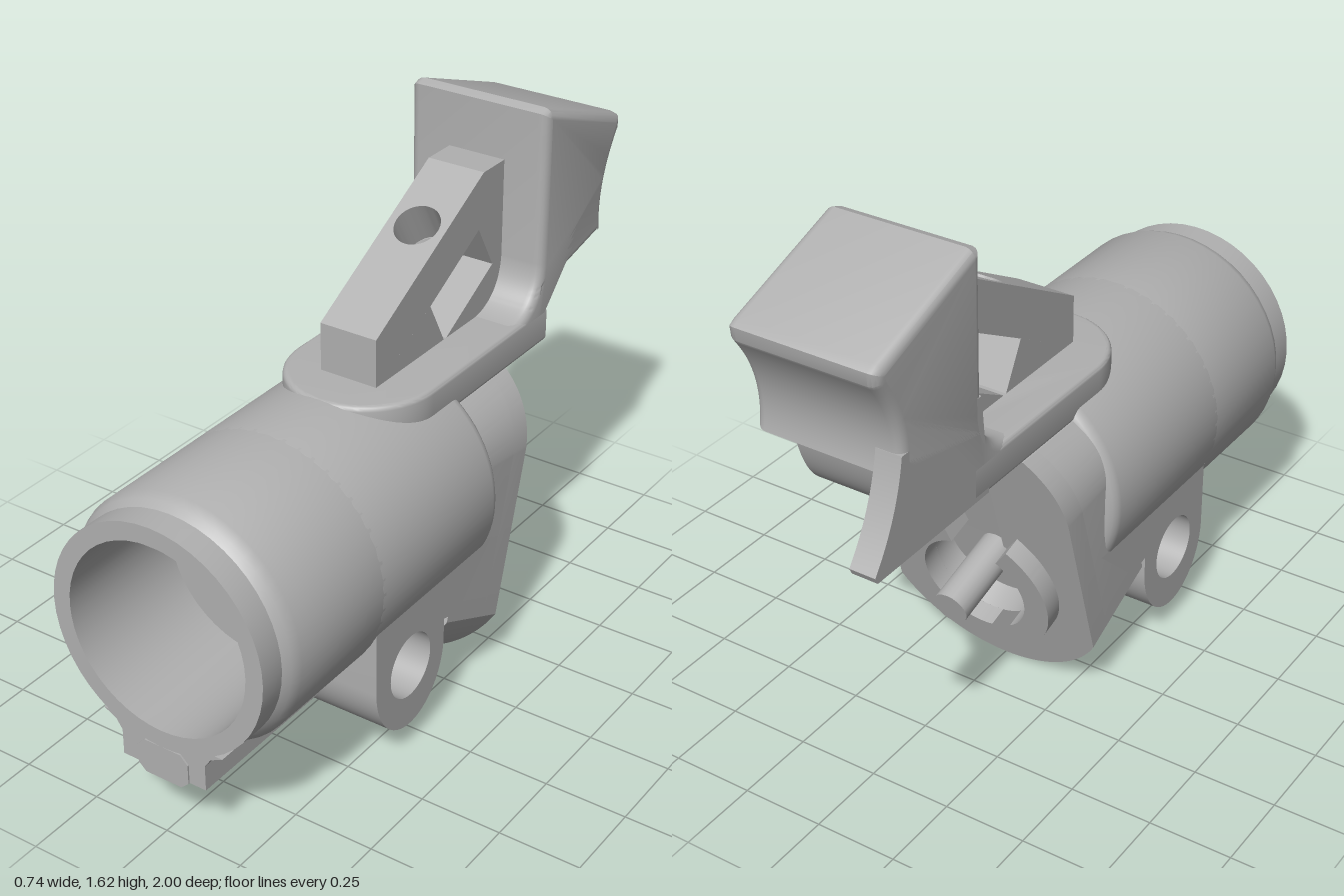
import * as THREE from 'three';
import { toCreasedNormals } from 'three/addons/utils/BufferGeometryUtils.js';

const metal = new THREE.MeshStandardMaterial({ color: 0xb0b0b0 });
metal.name = 'plain grey';

export function createModel() {
  const model = new THREE.Group();
  model.name = 'latchHousing';

  const add = (name, geo, parent = model) => {
    const mesh = new THREE.Mesh(toCreasedNormals(geo, 0.5), metal);
    mesh.name = name;
    parent.add(mesh);
    return mesh;
  };
  const poly = pts => new THREE.Shape(pts.map(p => new THREE.Vector2(...p)));
  // Extrusion whose outer size, bevel included, is exactly shape x [from, to]
  const extrude = (shape, from, to, bevel = 0) => {
    const geo = new THREE.ExtrudeGeometry(shape, {
      depth: to - from - 2 * bevel, curveSegments: 24,
      bevelEnabled: bevel > 0, bevelSize: bevel, bevelThickness: bevel, bevelOffset: -bevel, bevelSegments: 4,
    });
    return geo.translate(0, 0, from + bevel);
  };
  // Side profiles use (-z, y) and are extruded along x
  const side = (shape, x0, x1, bevel) => extrude(shape, x0, x1, bevel).rotateY(Math.PI / 2);

  // Front barrel with blind bore and stepped collar
  const axisY = 0.63, R = 0.372;
  const profile = [[0, 0.49], [R, 0.49], [R, 0.87], [0.36, 0.9], [0.345, 0.92], [0.345, 1],
    [0.29, 1], [0.29, 0.58], [0, 0.58]].map(p => new THREE.Vector2(...p));
  add('barrel', new THREE.LatheGeometry(profile, 48).rotateX(Math.PI / 2).translate(0, axisY, 0));
  add('boreKey', new THREE.BoxGeometry(0.06, 0.02, 0.4).translate(0, 0.92, 0.79));

  // Rear barrel: the part of the circle above the cross lug, with a rounded end
  const a = Math.asin(0.16 / R);
  const upper = new THREE.Shape();
  upper.absarc(0, axisY, R, -a, Math.PI + a, false);
  upper.closePath();
  add('rearBarrel', extrude(upper, -0.09, 0.54, 0.04));

  // Cross lug with pin hole right through
  const lug = new THREE.Shape();
  lug.moveTo(-0.49, 0.485);
  lug.lineTo(-0.49, 0.28);
  lug.absellipse(-0.32, 0.28, 0.17, 0.2, Math.PI, 2 * Math.PI, false);
  lug.lineTo(-0.15, 0.34);
  lug.lineTo(-0.08, 0.32);
  lug.lineTo(0.1, 0.485);
  lug.closePath();
  lug.holes.push(new THREE.Path().absarc(-0.32, 0.28, 0.1, 0, Math.PI * 2, true));
  add('crossLug', side(lug, -0.34, 0.34));

  // Guide rail and latch below the barrel
  add('guideRail', extrude(poly([[-0.2, 0.33], [-0.16, 0.31], [-0.14, 0.28], [-0.14, 0.2],
    [0.14, 0.2], [0.14, 0.28], [0.16, 0.31], [0.2, 0.33]]), 0.48, 0.995));
  add('railLatch', extrude(poly([[-0.085, 0.2], [-0.06, 0.177], [0.06, 0.177], [0.085, 0.2],
    [0.085, 0.26], [0.06, 0.285], [-0.06, 0.285], [-0.085, 0.26]]), 0.48, 1));

  // Slanted rear body: cross-section in (x, s along the back face), swept forward by t
  const bodyShape = () => {
    const s = new THREE.Shape();
    s.absarc(0, 0.39, 0.39, Math.PI + 0.512, 2 * Math.PI - 0.512, false);
    s.lineTo(0.34, 0.72);
    s.quadraticCurveTo(0.33, 0.85, 0.23, 0.93);
    s.lineTo(-0.23, 0.93);
    s.quadraticCurveTo(-0.33, 0.85, -0.34, 0.72);
    s.closePath();
    return s;
  };
  const tilt = geo => {
    const p = geo.attributes.position;
    for (let i = 0; i < p.count; i++) {
      const s = p.getY(i), t = p.getZ(i);
      const rise = 0.42 * t * THREE.MathUtils.clamp((0.926 - s) / 0.7, 0, 1);
      p.setXYZ(i, p.getX(i), s * 0.961 + rise, -0.08 - s * 0.277 + t * 0.9);
    }
    return geo;
  };
  const rim = bodyShape();
  const pocket = new THREE.Path();
  pocket.moveTo(0.09, 0.524);
  pocket.lineTo(0.09, 0.85);
  pocket.lineTo(-0.09, 0.85);
  pocket.lineTo(-0.09, 0.524);
  pocket.absarc(0, 0.38, 0.17, 2.13, 2 * Math.PI + 1.01, false);
  rim.holes.push(pocket);
  add('rearBodyRim', tilt(extrude(rim, 0, 0.08)));
  add('rearBodyCore', tilt(extrude(bodyShape(), 0.08, 0.3)));

  // Split ring and centre pin standing off the back face
  const back = new THREE.Group();
  back.name = 'rearFitting';
  back.position.z = -0.08;
  back.rotation.x = -0.281;
  model.add(back);
  for (const [name, from, to] of [['ringLeft', -1.75, 1.3], ['ringRight', 2.2, 4.1]]) {
    const arc = new THREE.Shape();
    arc.absarc(0, 0.38, 0.25, from, to, false);
    arc.absarc(0, 0.38, 0.17, to, from, true);
    arc.closePath();
    add(name, extrude(arc, -0.06, 0.03), back);
  }
  add('centrePin', new THREE.CylinderGeometry(0.055, 0.055, 0.3, 20).rotateX(Math.PI / 2)
    .translate(0, 0.4, -0.03), back);

  // Top plate with rounded front and a hole at the rear
  const plate = new THREE.Shape();
  plate.moveTo(0.23, 0.56);
  plate.lineTo(-0.23, 0.56);
  plate.absellipse(0, -0.05, 0.23, 0.23, Math.PI, 2 * Math.PI, false);
  plate.closePath();
  plate.holes.push(new THREE.Path().absarc(0, 0.46, 0.06, 0, Math.PI * 2, true));
  add('topPlate', extrude(plate, 0.89, 1.003, 0.015).rotateX(-Math.PI / 2));

  // Thumb block with concave back and filleted foot
  const block = new THREE.Shape();
  block.moveTo(0.36, 0.93);
  block.lineTo(0.55, 0.93);
  block.lineTo(0.55, 1.06);
  block.lineTo(0.88, 1.13);
  block.quadraticCurveTo(0.85, 1.28, 0.96, 1.43);
  block.lineTo(0.965, 1.47);
  block.lineTo(0.94, 1.485);
  block.lineTo(0.55, 1.625);
  block.lineTo(0.52, 1.615);
  block.lineTo(0.52, 1.15);
  block.quadraticCurveTo(0.51, 1.01, 0.36, 1.0);
  block.closePath();
  add('thumbBlock', side(block, -0.23, 0.23, 0.03));

  // Side wall flaring to the rear, and the web inside the scooped corner
  const wall = new THREE.Shape();
  wall.moveTo(0.5, 0.89);
  wall.lineTo(0.99, 0.89);
  wall.lineTo(1.0, 0.91);
  wall.quadraticCurveTo(0.9, 1.04, 0.875, 1.2);
  wall.lineTo(0.53, 1.2);
  wall.closePath();
  add('blockSideWall', side(wall, -0.23, -0.15));
  const web = new THREE.Shape();
  web.moveTo(0.53, 0.91);
  web.lineTo(0.68, 0.91);
  web.quadraticCurveTo(0.8, 0.93, 0.84, 1.15);
  web.lineTo(0.53, 1.12);
  web.closePath();
  add('blockWeb', side(web, -0.16, 0.14));

  // Sloped brace: drilled upper bar plus two pieces around the square window
  const w = 0.093;
  const bar = poly([[-w, 0], [w, 0], [w, 0.618], [-w, 0.618]]);
  bar.holes.push(new THREE.Path().absarc(0, 0.389, 0.069, 0, Math.PI * 2, true));
  const barGeo = extrude(bar, -0.14, 0);
  const bp = barGeo.attributes.position;
  for (let i = 0; i < bp.count; i++) {
    const s = bp.getY(i), d = bp.getZ(i);
    const inner = s > 0.01 && s < 0.6; // drilled square to the slope, ends cut vertically
    bp.setXYZ(i, bp.getX(i), 1.15 + s * 0.486 + d * (inner ? 0.874 : 1.143),
      0.13 - s * 0.874 + (inner ? d * 0.486 : 0));
  }
  add('braceBar', barGeo);
  add('braceFront', side(poly([[-0.13, 0.99], [0.22, 0.99], [0.14, 1.14]]), -w, w));
  add('braceRear', side(poly([[0.22, 1.0], [0.54, 1.0], [0.54, 1.45], [0.41, 1.45], [0.41, 1.29],
    [0.39, 1.28], [0.47, 1.14]]), -w, w));

  return model;
}
